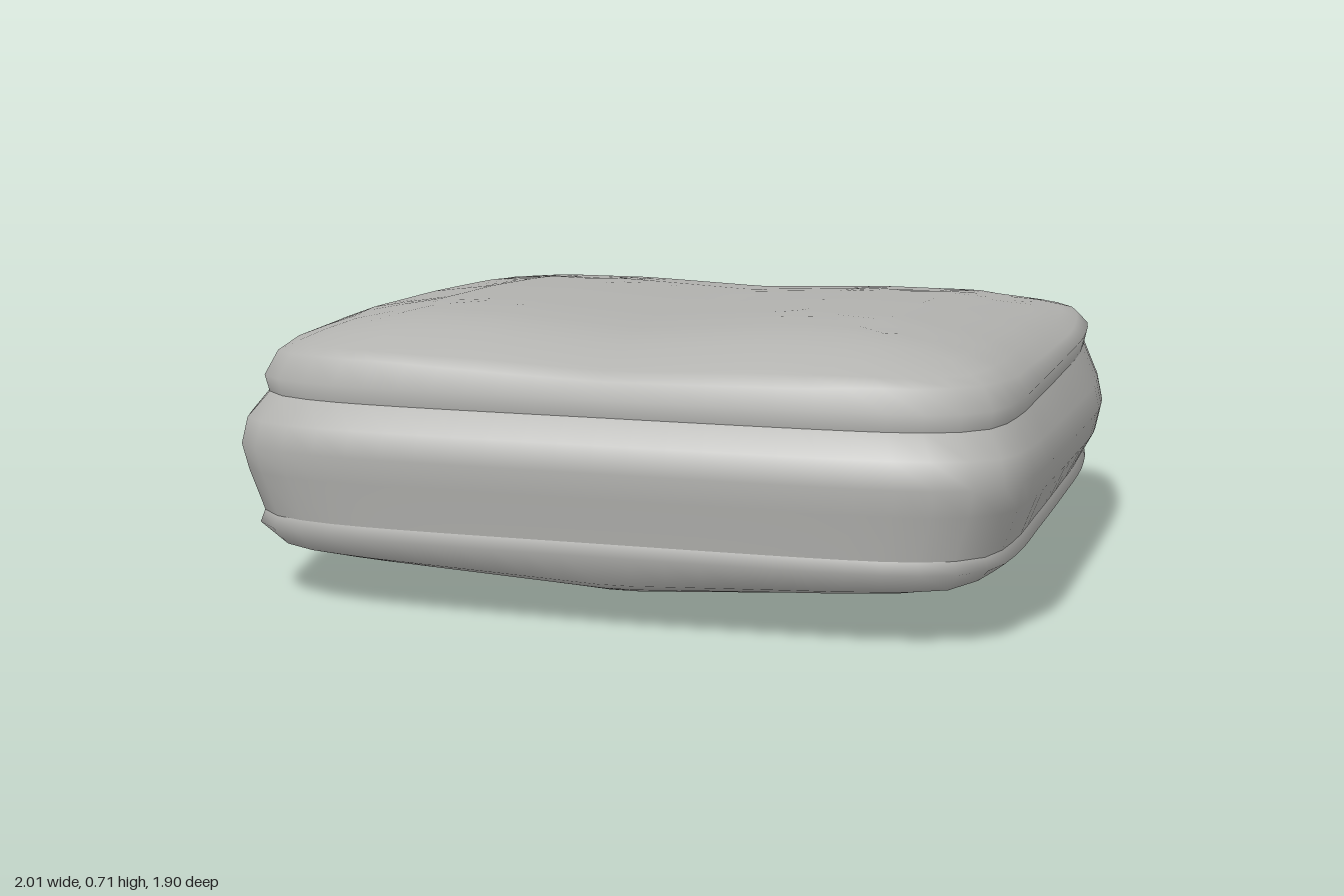
import * as THREE from 'three';
import { mergeVertices } from 'three/addons/utils/BufferGeometryUtils.js';

// Widest outline of the cushion as x, z, counter-clockwise from above
const OUTLINE = [
  [-0.62, -0.94], [-0.85, -0.88], [-0.94, -0.75], [-0.98, -0.5], [-1, 0], [-1, 0.35],
  [-0.995, 0.7], [-0.94, 0.84], [-0.83, 0.9], [-0.67, 0.93], [0, 0.945], [0.66, 0.94],
  [0.8, 0.92], [0.92, 0.86], [0.965, 0.78], [0.99, 0.6], [0.995, 0.36], [1, 0],
  [0.995, -0.5], [0.95, -0.77], [0.88, -0.86], [0.7, -0.92], [0.4, -0.945], [0, -0.95],
];

// Heights of the padded faces along x and along z
const TOP_X = [[-0.96, 0.56], [-0.93, 0.6], [-0.88, 0.64], [-0.77, 0.68], [-0.6, 0.705], [-0.35, 0.705],
  [0, 0.68], [0.35, 0.705], [0.6, 0.705], [0.8, 0.665], [0.9, 0.62], [0.95, 0.56]];
const TOP_Z = [[-0.91, 0.55], [-0.84, 0.6], [-0.68, 0.635], [-0.4, 0.665], [0, 0.69], [0.4, 0.707],
  [0.62, 0.7], [0.74, 0.67], [0.85, 0.615], [0.89, 0.55]];
const BOTTOM_X = [[-0.96, 0.2], [-0.92, 0.15], [-0.8, 0.095], [-0.6, 0.065], [0.03, 0],
  [0.6, 0.06], [0.8, 0.095], [0.92, 0.15], [0.96, 0.2]];
const BOTTOM_Z = [[-0.91, 0.15], [-0.86, 0.08], [-0.73, 0.03], [-0.55, 0.01], [-0.2, 0], [0.1, 0.02],
  [0.65, 0.075], [0.83, 0.08], [0.93, 0.13]];

function lookUp(table, v) {
  if (v <= table[0][0]) return table[0][1];
  for (let i = 1; i < table.length; i++) {
    const [a, ya] = table[i - 1], [b, yb] = table[i];
    if (v <= b) return ya + (yb - ya) * (v - a) / (b - a);
  }
  return table[table.length - 1][1];
}

const topHeight = (x, z) =>
  0.55 + (lookUp(TOP_X, x) - 0.55) * (lookUp(TOP_Z, z) - 0.55) / 0.155;
const bottomHeight = (x, z) =>
  0.2 - (0.2 - lookUp(BOTTOM_X, x)) * (0.2 - lookUp(BOTTOM_Z, z)) / 0.2;

const SIDES = 80;

// Joins rings, listed from top to bottom, into one smooth skin
function loft(rings) {
  const positions = [], index = [];
  for (const ring of rings) for (const p of ring) positions.push(...p);
  for (let k = 0; k < rings.length - 1; k++) {
    for (let i = 0; i < SIDES; i++) {
      const j = (i + 1) % SIDES;
      const a = k * SIDES + i, b = k * SIDES + j, c = a + SIDES, d = b + SIDES;
      index.push(a, c, d, a, d, b);
    }
  }
  const geometry = new THREE.BufferGeometry();
  geometry.setAttribute('position', new THREE.Float32BufferAttribute(positions, 3));
  geometry.setIndex(index);
  const merged = mergeVertices(geometry, 1e-5);
  merged.computeVertexNormals();
  return merged;
}

export function createModel() {
  const group = new THREE.Group();
  group.name = 'cushion';
  const fabric = new THREE.MeshStandardMaterial({ color: 0xb2b2af });
  fabric.name = 'grey fabric';

  const curve = new THREE.CatmullRomCurve3(
    OUTLINE.map(([x, z]) => new THREE.Vector3(x, 0, z)), true, 'centripetal');
  const outline = curve.getSpacedPoints(SIDES).slice(0, SIDES);

  // Seam outlines: the top one is set back a little, the bottom one further forward
  const topSeam = (p, s) => [p.x * 0.957 * s, (p.z * 0.945 - 0.01) * s];
  const bottomSeam = (p, s) => [p.x * 0.96 * s, (p.z * 0.97 + 0.012) * s];
  const makeRing = (place, s, height) => outline.map((p) => {
    const [x, z] = place(p, s);
    return [x, typeof height === 'number' ? height : height(x, z), z];
  });
  const add = (name, rings) => {
    const mesh = new THREE.Mesh(loft(rings), fabric);
    mesh.name = name;
    group.add(mesh);
  };

  const steps = [0, 0.12, 0.25, 0.38, 0.5, 0.62, 0.72, 0.8, 0.87, 0.93, 0.97];

  // Padded top with a small rolled lip
  add('topPanel', [
    ...steps.map((s) => makeRing(topSeam, s, topHeight)),
    makeRing(topSeam, 1, 0.555),
    makeRing(topSeam, 0.99, 0.51),
  ]);

  // Bulging band around the sides
  const belly = (s, y) => makeRing((p) => [p.x * s, p.z * s], 1, (x, z) => y + 0.03 * z);
  add('sideBand', [
    makeRing(topSeam, 0.988, 0.515),
    belly(0.987, 0.43),
    belly(1, 0.365),
    belly(0.987, 0.3),
    makeRing(bottomSeam, 0.988, 0.215),
  ]);

  // Sagging underside with a matching lip
  add('bottomPanel', [
    makeRing(bottomSeam, 0.99, 0.22),
    makeRing(bottomSeam, 1, 0.19),
    ...steps.slice().reverse().map((s) => makeRing(bottomSeam, s, bottomHeight)),
  ]);

  return group;
}
